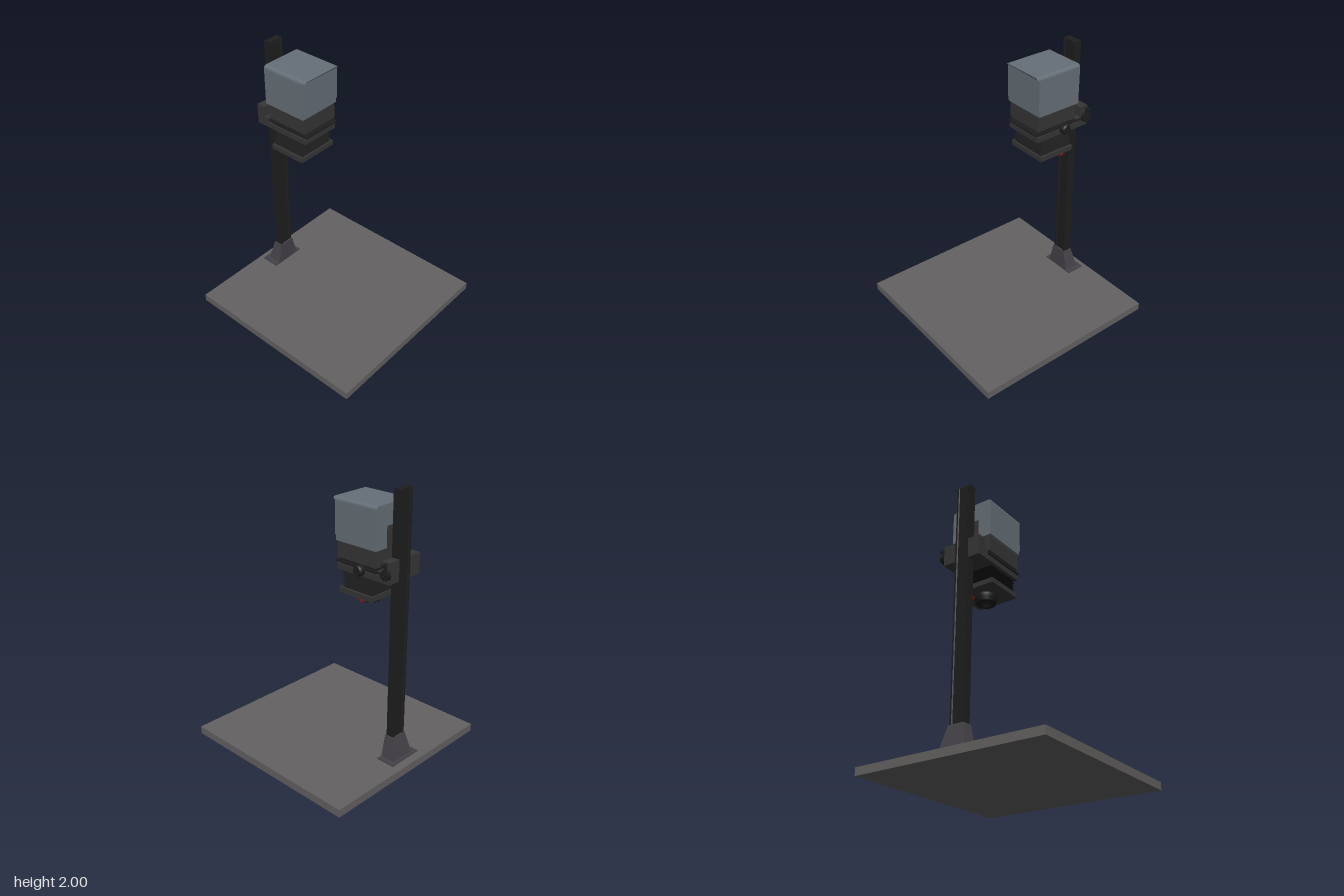
import * as THREE from 'three';

export function createModel() {
  const model = new THREE.Group();
  const mat = (color, extra = {}) => {
    const m = new THREE.MeshStandardMaterial({ color });
    return Object.assign(m, extra);
  };
  const boardGrey = mat(0x646161), housingGrey = mat(0x667078), footGrey = mat(0x454248);
  const bodyDark = mat(0x363636), black = mat(0x1e1e1e), red = mat(0x8a1a14);
  const bellowsBlack = mat(0x181818, { flatShading: true });
  const lensBlack = mat(0x1a1a1a, { side: THREE.DoubleSide });

  const add = (name, geometry, material, x = 0, y = 0, z = 0) => {
    const mesh = new THREE.Mesh(geometry, material);
    mesh.name = name;
    mesh.position.set(x, y, z);
    model.add(mesh);
    return mesh;
  };
  // Box given by its limits on each axis
  const box = (name, material, x0, x1, y0, y1, z0, z1) =>
    add(name, new THREE.BoxGeometry(x1 - x0, y1 - y0, z1 - z0), material,
      (x0 + x1) / 2, (y0 + y1) / 2, (z0 + z1) / 2);
  // Cylinder lying along x
  const barX = (name, material, r0, r1, x0, x1, y, z, sides = 24) => {
    const g = new THREE.CylinderGeometry(r1, r0, x1 - x0, sides).rotateZ(-Math.PI / 2);
    return add(name, g, material, (x0 + x1) / 2, y, z);
  };

  // Baseboard
  box('baseboard', boardGrey, -0.72, 0.72, 0, 0.058, -0.72, 0.72);

  // Column foot: thin flange and a tapered socket with an upright front
  box('footFlange', footGrey, -0.135, 0.135, 0.072, 0.08, -0.67, -0.53);
  const foot = new THREE.BoxGeometry(1, 0.16, 1).toNonIndexed();
  const p = foot.attributes.position;
  for (let i = 0; i < p.count; i++) {
    const top = p.getY(i) > 0;
    const back = p.getZ(i) < 0;
    p.setX(i, Math.sign(p.getX(i)) * (top ? 0.06 : 0.097));
    p.setZ(i, back ? (top ? -0.607 : -0.642) : -0.532);
  }
  foot.computeVertexNormals();
  add('footSocket', foot, footGrey, 0, 0.16, 0);

  // Column: extruded rail with a shallow channel front and back
  const rail = new THREE.Shape([
    [-0.055, -0.031], [-0.042, -0.031], [-0.036, -0.025], [0.036, -0.025], [0.042, -0.031], [0.055, -0.031],
    [0.055, 0.031], [0.042, 0.031], [0.036, 0.025], [-0.036, 0.025], [-0.042, 0.031], [-0.055, 0.031],
  ].map(([x, y]) => new THREE.Vector2(x, y)));
  const railGeo = new THREE.ExtrudeGeometry(rail, { depth: 1.92, bevelEnabled: false }).rotateX(-Math.PI / 2);
  add('column', railGeo, black, 0, 0.08, -0.571);

  // Lamp housing with rounded upper edges, stepped back at the lower front
  const w = 0.165, r = 0.025;
  const hood = new THREE.Shape();
  hood.moveTo(-w, 1.64);
  hood.lineTo(w, 1.64);
  hood.lineTo(w, 1.892 - r);
  hood.quadraticCurveTo(w, 1.892, w - r, 1.892);
  hood.lineTo(-w + r, 1.892);
  hood.quadraticCurveTo(-w, 1.892, -w, 1.892 - r);
  hood.closePath();
  const hoodGeo = new THREE.ExtrudeGeometry(hood, { depth: 0.37, bevelEnabled: false, curveSegments: 6 });
  // Ease the front vertical edges inward
  const hp = hoodGeo.attributes.position;
  for (let i = 0; i < hp.count; i++) {
    if (hp.getZ(i) > 0.3 && Math.abs(hp.getX(i)) > w - 0.001) hp.setZ(i, 0.352);
  }
  hoodGeo.computeVertexNormals();
  add('lampHousing', hoodGeo, housingGrey, 0, 0, -0.5);
  box('lampHousingSkirt', housingGrey, -w, w, 1.603, 1.64, -0.5, -0.155);
  box('housingHinge', bodyDark, -0.06, 0.06, 1.6, 1.75, -0.506, -0.495);

  // Condenser body, negative stage and carrier plate
  box('condenserCollar', bodyDark, -0.145, 0.145, 1.59, 1.605, -0.485, -0.165);
  box('condenserBody', bodyDark, -0.15, 0.15, 1.484, 1.595, -0.49, -0.158);
  box('stageCore', black, -0.14, 0.14, 1.435, 1.49, -0.48, -0.175);
  box('negativeCarrier', black, -0.15, 0.15, 1.454, 1.466, -0.5, -0.14);
  box('headPlate', bodyDark, -0.15, 0.15, 1.402, 1.442, -0.545, -0.153);

  // Carriage gripping the column
  for (const s of [-1, 1]) {
    box('carriageCheek', bodyDark, Math.min(s * 0.056, s * 0.15), Math.max(s * 0.056, s * 0.15), 1.402, 1.55, -0.605, -0.54);
  }
  box('carriageFront', bodyDark, -0.15, 0.15, 1.402, 1.475, -0.54, -0.505);

  // Bellows: pleated square tube
  const pleats = 6, y0 = 1.275, y1 = 1.392;
  const profile = [new THREE.Vector2(0.001, y0)];
  for (let i = 0; i <= pleats * 2; i++) {
    profile.push(new THREE.Vector2((i % 2 ? 1 : 0.87) * Math.SQRT2, y0 + (y1 - y0) * i / (pleats * 2)));
  }
  profile.push(new THREE.Vector2(0.001, y1));
  const bellows = new THREE.LatheGeometry(profile, 4, Math.PI / 4).scale(0.145, 1, 0.135);
  add('bellows', bellows, bellowsBlack, 0, 0, -0.325);
  box('bellowsNeck', black, -0.05, 0.05, 1.385, 1.405, -0.375, -0.275);

  // Lens board and lens
  box('lensBoard', bodyDark, -0.16, 0.16, 1.246, 1.282, -0.466, -0.18);
  const lensProfile = [
    [0.001, 1.225], [0.034, 1.225], [0.042, 1.19], [0.05, 1.186], [0.068, 1.186], [0.073, 1.192],
    [0.073, 1.212], [0.077, 1.216], [0.077, 1.238], [0.073, 1.248],
  ].map(([x, y]) => new THREE.Vector2(x, y));
  add('lens', new THREE.LatheGeometry(lensProfile, 32), lensBlack, 0, 0, -0.32);

  // Red filter lever under the lens board
  box('filterArm', red, 0.07, 0.155, 1.237, 1.244, -0.405, -0.345);
  box('filterTip', red, 0.15, 0.165, 1.23, 1.244, -0.38, -0.37);

  // Focus knob
  barX('focusShaft', black, 0.015, 0.015, 0.14, 0.17, 1.455, -0.375);
  barX('focusKnob', black, 0.038, 0.038, 0.165, 0.193, 1.453, -0.375);
  barX('focusKnobCap', black, 0.038, 0.03, 0.193, 0.205, 1.453, -0.375);

  // Height clamp: side rod, knob, spindle and upright lever
  barX('clampKnob', black, 0.036, 0.036, 0.15, 0.175, 1.468, -0.583);
  barX('clampSpindle', black, 0.007, 0.007, 0.17, 0.2, 1.468, -0.583, 12);
  box('clampLever', black, 0.162, 0.174, 1.47, 1.545, -0.591, -0.575);
  barX('leverHandle', black, 0.007, 0.007, 0.155, 0.2, 1.535, -0.583, 12);
  box('leverStop', black, 0.181, 0.187, 1.525, 1.545, -0.6, -0.566);
  box('sideRod', black, 0.15, 0.158, 1.458, 1.468, -0.59, -0.15);

  return model;
}
